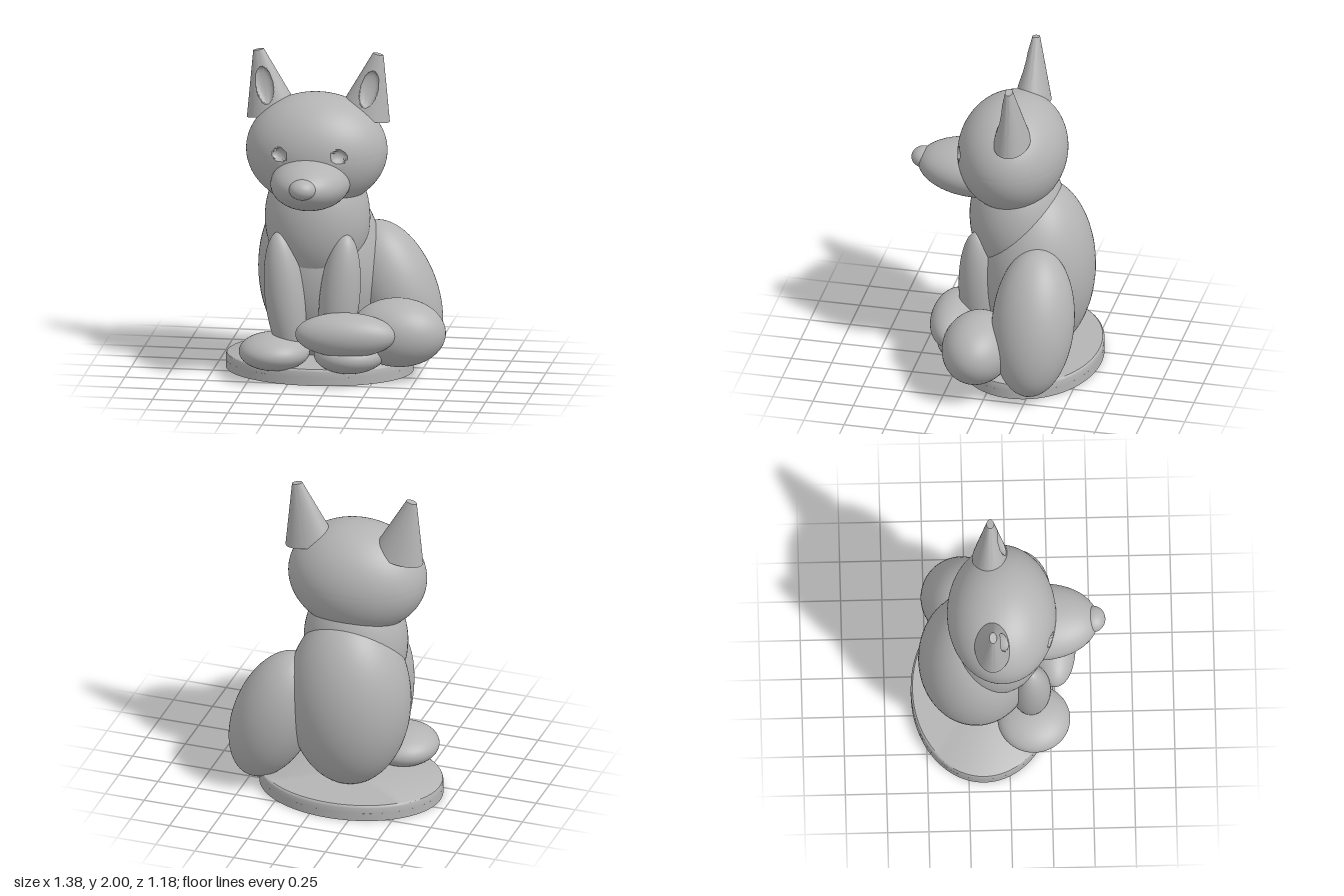
import * as THREE from 'three';
import { toCreasedNormals } from 'three/addons/utils/BufferGeometryUtils.js';

const MID = -0.12; // the animal's own symmetry plane

export function createModel() {
  const group = new THREE.Group();
  const grey = new THREE.MeshStandardMaterial({ color: 0xb4b4b4 });
  grey.name = 'plain grey';

  const add = (name, geometry, pos = [0, 0, 0], rot = [0, 0, 0]) => {
    const mesh = new THREE.Mesh(geometry, grey);
    mesh.name = name;
    mesh.position.set(...pos);
    mesh.rotation.set(...rot);
    group.add(mesh);
    return mesh;
  };
  const egg = (name, pos, radii, rot) =>
    add(name, new THREE.SphereGeometry(1, 56, 36).scale(...radii), pos, rot);

  // Press a rounded hollow into the front (+z) of a geometry
  const hollow = (geo, cx, cy, rx, ry, depth) => {
    const p = geo.attributes.position;
    for (let i = 0; i < p.count; i++) {
      const q = ((p.getX(i) - cx) / rx) ** 2 + ((p.getY(i) - cy) / ry) ** 2;
      if (q < 1 && p.getZ(i) > 0) p.setZ(i, p.getZ(i) - depth * Math.sqrt(1 - q));
    }
  };

  // Oval base: lower slab with two pin holes, upper slab with a rounded rim
  const oval = new THREE.Shape().absellipse(0, 0, 0.57, 0.435, 0, Math.PI * 2);
  for (const s of [-1, 1]) {
    oval.holes.push(new THREE.Path().absellipse(s * 0.27, 0, 0.016, 0.016, 0, Math.PI * 2, true));
  }
  const slab = new THREE.ExtrudeGeometry(oval, { depth: 0.05, bevelEnabled: false, curveSegments: 72 });
  add('baseBottom', toCreasedNormals(slab.rotateX(-Math.PI / 2), 0.6), [MID, 0, -0.155]);
  const rim = [[0, 0.05], [0.57, 0.05], [0.57, 0.085], [0.566, 0.094], [0.556, 0.1], [0, 0.1]];
  const top = new THREE.LatheGeometry(rim.map(([x, y]) => new THREE.Vector2(x, y)), 72);
  add('baseTop', toCreasedNormals(top.scale(1, 1, 0.435 / 0.57), 0.6), [MID, 0, -0.155]);

  // Torso
  egg('body', [MID, 0.63, -0.195], [0.38, 0.57, 0.35]);
  egg('chest', [MID, 0.97, -0.07], [0.32, 0.42, 0.29]);

  // Head with hollow eyes
  const skull = new THREE.SphereGeometry(1, 176, 112).scale(0.43, 0.35, 0.33);
  for (const s of [-1, 1]) hollow(skull, s * 0.18, 0.03, 0.043, 0.04, 0.035);
  add('head', toCreasedNormals(skull, 0.6), [MID, 1.4, -0.04]);
  egg('muzzle', [MID, 1.25, 0.2], [0.24, 0.162, 0.345], [-0.06, 0, 0]);
  egg('nose', [MID, 1.285, 0.513], [0.082, 0.062, 0.075]);

  for (const s of [-1, 1]) {
    const side = s > 0 ? 'left' : 'right';

    // Ear: flattened, outward-leaning cut cone with a hollow front
    const ear = new THREE.CylinderGeometry(0.033, 0.16, 0.395, 96, 56);
    ear.rotateY(Math.PI).scale(1, 1, 0.69);
    hollow(ear, 0, -0.015, 0.052, 0.11, 0.035);
    add(side + 'Ear', toCreasedNormals(ear, 0.6), [MID + s * 0.324, 1.8, -0.1], [0, 0, -s * 0.22]);

    // Front leg and paw
    egg(side + 'FrontLeg', [MID + s * 0.168, 0.52, 0.135], [0.122, 0.4, 0.12], [0, 0, -s * 0.1]);
    egg(side + 'Paw', [MID + s * 0.23, 0.175, 0.15], [0.215, 0.112, 0.22]);
  }

  // Single haunch on the left, with the tail curling round to the front
  egg('haunch', [0.33, 0.475, -0.27], [0.25, 0.455, 0.25], [0, 0, 0.363]);
  egg('tailBase', [0.395, 0.3, 0.06], [0.29, 0.21, 0.213]);
  egg('tailTip', [0.105, 0.325, 0.27], [0.305, 0.135, 0.142], [0, 0.06, 0]);

  return group;
}
